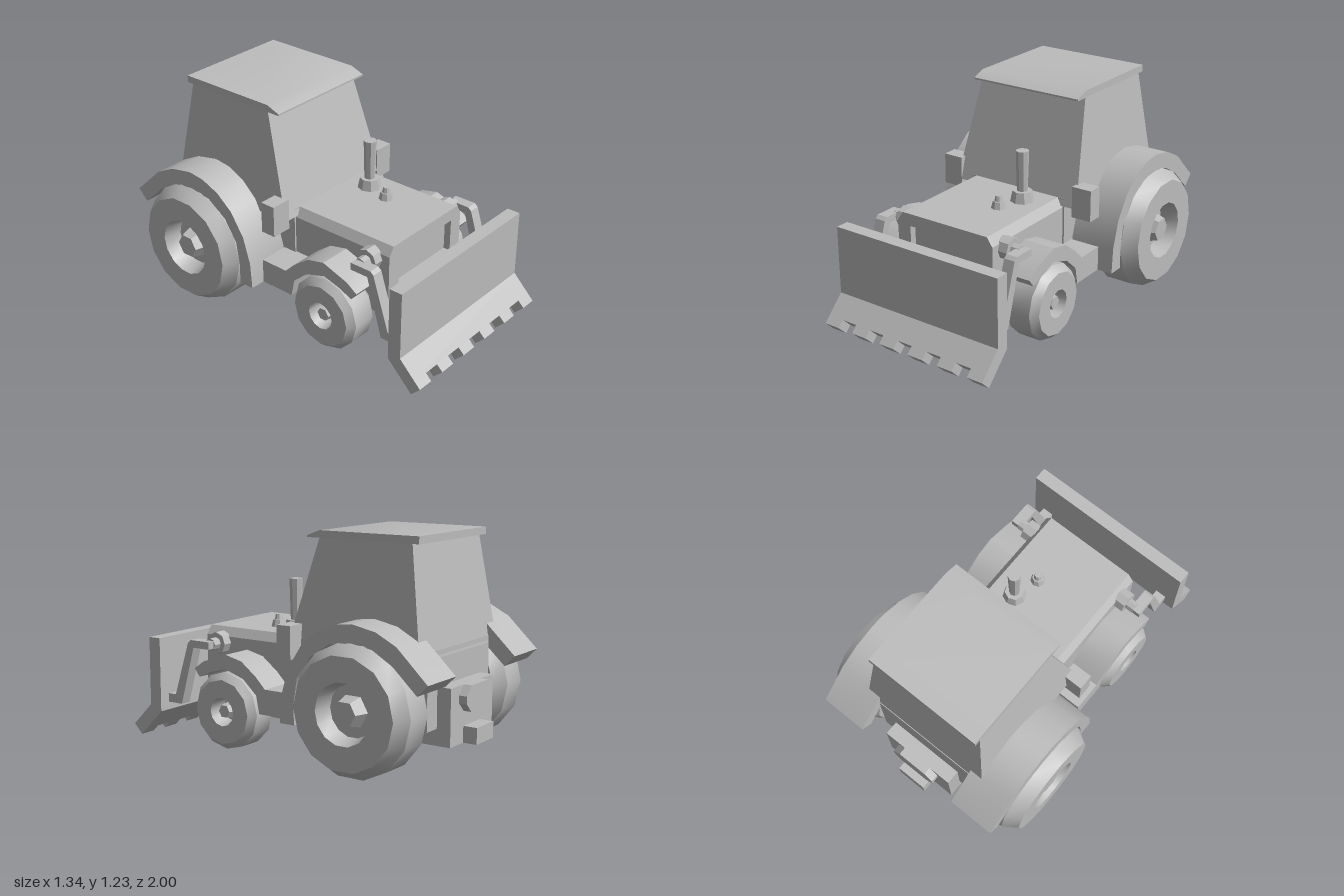
import * as THREE from 'three';
import { toCreasedNormals } from 'three/addons/utils/BufferGeometryUtils.js';

export function createModel() {
  const model = new THREE.Group();
  model.name = 'tractor';
  const grey = new THREE.MeshStandardMaterial({ color: 0xbcbcbc });
  grey.name = 'grey';

  const add = (name, geometry) => {
    const mesh = new THREE.Mesh(toCreasedNormals(geometry, 0.55), grey);
    mesh.name = name;
    model.add(mesh);
    return mesh;
  };
  const toShape = (pts) => new THREE.Shape(pts.map(([a, b]) => new THREE.Vector2(a, b)));
  // Side profile in (z, y), extruded from x0 to x1
  const sideProfile = (pts, x0, x1) =>
    new THREE.ExtrudeGeometry(toShape(pts), { depth: x1 - x0, bevelEnabled: false })
      .rotateY(-Math.PI / 2).translate(x1, 0, 0);
  // Front profile in (x, y), extruded from z0 to z1
  const frontProfile = (shape, z0, z1) =>
    new THREE.ExtrudeGeometry(shape, { depth: z1 - z0, bevelEnabled: false }).translate(0, 0, z0);
  const box = (x0, x1, y0, y1, z0, z1) =>
    new THREE.BoxGeometry(x1 - x0, y1 - y0, z1 - z0)
      .translate((x0 + x1) / 2, (y0 + y1) / 2, (z0 + z1) / 2);
  // Same x range on the left (+1) or right (-1)
  const range = (s, a, b) => (s > 0 ? [a, b] : [-b, -a]);
  const octagon = (w, y0, y1, c) => toShape([
    [-w + c, y0], [w - c, y0], [w, y0 + c], [w, y1 - c],
    [w - c, y1], [-w + c, y1], [-w, y1 - c], [-w, y0 + c],
  ]);

  // Chassis and hitch
  add('chassis', box(-0.225, 0.225, 0.14, 0.24, -0.9, 0.55));
  add('rearBlock', box(-0.225, 0.225, 0.14, 0.45, -0.92, -0.8));
  add('rearPlate', frontProfile(octagon(0.14, 0.31, 0.45, 0.05), -0.965, -0.91));
  add('hitch', box(-0.09, 0.09, 0.14, 0.23, -1, -0.9));
  add('frontPlate', frontProfile(octagon(0.14, 0.16, 0.27, 0.04), 0.5, 0.585));

  // Hood with bevelled top edges and a recessed grille
  const hoodSection = () => toShape([
    [-0.315, 0.31], [0.315, 0.31], [0.315, 0.59], [0.28, 0.64], [-0.28, 0.64], [-0.315, 0.59],
  ]);
  add('hood', frontProfile(hoodSection(), -0.1, 0.58));
  const grille = hoodSection();
  grille.holes.push(new THREE.Path([[-0.23, 0.38], [-0.23, 0.57], [0.23, 0.57], [0.23, 0.38]]
    .map(([a, b]) => new THREE.Vector2(a, b))));
  add('grilleFrame', frontProfile(grille, 0.58, 0.62));
  add('hoodBase', sideProfile(
    [[-0.1, 0.23], [0.54, 0.23], [0.62, 0.31], [-0.1, 0.31]], -0.315, 0.315));

  // Exhaust and filler cap
  const post = (name, x, z, y0, y1, r0, r1) => add(name,
    new THREE.CylinderGeometry(r1, r0, y1 - y0, 8).translate(x, (y0 + y1) / 2, z));
  post('exhaustBase', 0.145, 0.115, 0.63, 0.7, 0.07, 0.055);
  post('exhaustPipe', 0.145, 0.115, 0.69, 0.93, 0.03, 0.037);
  post('capBase', 0.1, 0.27, 0.63, 0.68, 0.046, 0.033);
  post('capTop', 0.1, 0.27, 0.67, 0.71, 0.027, 0.018);

  // Cab: lower body, tapered upper part and roof
  add('cabBase', box(-0.325, 0.325, 0.23, 0.64, -0.84, -0.03));
  const cab = new THREE.BoxGeometry(1, 1, 1);
  const p = cab.attributes.position;
  for (let i = 0; i < p.count; i++) {
    const top = p.getY(i) > 0, front = p.getZ(i) > 0;
    p.setXYZ(i, Math.sign(p.getX(i)) * (top ? 0.345 : 0.408), top ? 1.19 : 0.6,
      front ? (top ? -0.19 : -0.02) : (top ? -0.755 : -0.842));
  }
  add('cab', cab);
  add('roof', sideProfile([[-0.11, 1.185], [-0.11, 1.195], [-0.19, 1.225],
    [-0.795, 1.225], [-0.795, 1.185]], -0.348, 0.348));

  // Wheel lathed about x: outer face at x1, recessed centre with a hub
  const wheel = (name, s, r, y, z, x, sides, face, hole, hub) => {
    const [x0, xa, xb, x1] = x, floor = x1 - 0.1;
    const place = (g) => g.rotateZ(-Math.PI / 2).rotateY(s > 0 ? 0 : Math.PI).translate(0, y, z);
    add(name, place(new THREE.LatheGeometry([
      [0, x0], [face, x0], [r, xa], [r, xb], [face, x1], [hole, x1], [hole * 0.85, floor], [0, floor],
    ].map(([a, b]) => new THREE.Vector2(a, b)), sides)));
    add(name + 'Hub', place(new THREE.CylinderGeometry(hub * 0.75, hub, 0.08, 6)
      .translate(0, floor + 0.04, 0)));
  };

  const rearFender = [
    [-0.11, 0.23], [-0.12, 0.38], [-0.165, 0.53], [-0.25, 0.66], [-0.35, 0.74], [-0.46, 0.785],
    [-0.56, 0.797], [-0.7, 0.77], [-0.82, 0.71], [-1, 0.54], [-0.94, 0.48], [-0.8, 0.61],
    [-0.68, 0.68], [-0.555, 0.7], [-0.42, 0.68], [-0.3, 0.6], [-0.22, 0.48], [-0.2, 0.35], [-0.2, 0.23],
  ];
  const frontFender = [
    [0.555, 0.43], [0.49, 0.475], [0.33, 0.53], [0.22, 0.505], [0.12, 0.43], [0.06, 0.37],
    [-0.11, 0.37], [-0.11, 0.23], [0.1, 0.23], [0.12, 0.33], [0.21, 0.41], [0.335, 0.45],
    [0.44, 0.42], [0.52, 0.385],
  ];
  const arm = [
    [0.485, 0.535], [0.595, 0.535], [0.69, 0.2], [0.8, 0.2], [0.8, 0.25], [0.735, 0.25],
    [0.635, 0.56], [0.615, 0.577], [0.485, 0.577],
  ];

  for (const s of [1, -1]) {
    const side = s > 0 ? 'left' : 'right';
    wheel(side + 'RearWheel', s, 0.352, 0.352, -0.555, [0.35, 0.43, 0.59, 0.67], 14, 0.3, 0.165, 0.09);
    wheel(side + 'FrontWheel', s, 0.215, 0.215, 0.335, [0.32, 0.36, 0.495, 0.535], 12, 0.18, 0.08, 0.05);
    add(side + 'RearFender', sideProfile(rearFender, ...range(s, 0.32, 0.592)));
    add(side + 'FrontFender', sideProfile(frontFender, ...range(s, 0.3, 0.502)));
    add(side + 'CabPost', box(...range(s, 0.38, 0.5), 0.55, 0.73, -0.11, -0.02));
    // Blade arm and its pivot
    add(side + 'Arm', sideProfile(arm, ...range(s, 0.4, 0.465)));
    const pin = (name, r, x0, x1) => add(side + name,
      new THREE.CylinderGeometry(r, r, x1 - x0, 8).rotateZ(Math.PI / 2)
        .translate(s * (x0 + x1) / 2, 0.555, 0.51));
    pin('PivotDisc', 0.064, 0.3, 0.37);
    pin('PivotPin', 0.035, 0.36, 0.42);
  }
  add('rearAxle', new THREE.CylinderGeometry(0.06, 0.06, 0.8, 8)
    .rotateZ(Math.PI / 2).translate(0, 0.352, -0.555));

  // Blade with alternating teeth along its lower lip
  add('blade', sideProfile([[0.79, 0.578], [0.79, 0.155], [0.91, 0.035], [0.965, 0.09],
    [0.868, 0.187], [0.868, 0.578]], -0.53, 0.53));
  const teeth = 11, step = 1.06 / teeth;
  for (let i = 0; i < teeth; i += 2) {
    const x = -0.53 + i * step;
    add('bladeTooth', sideProfile([[0.91, 0.035], [0.945, 0], [1, 0.055], [0.965, 0.09]], x, x + step));
  }
  return model;
}
